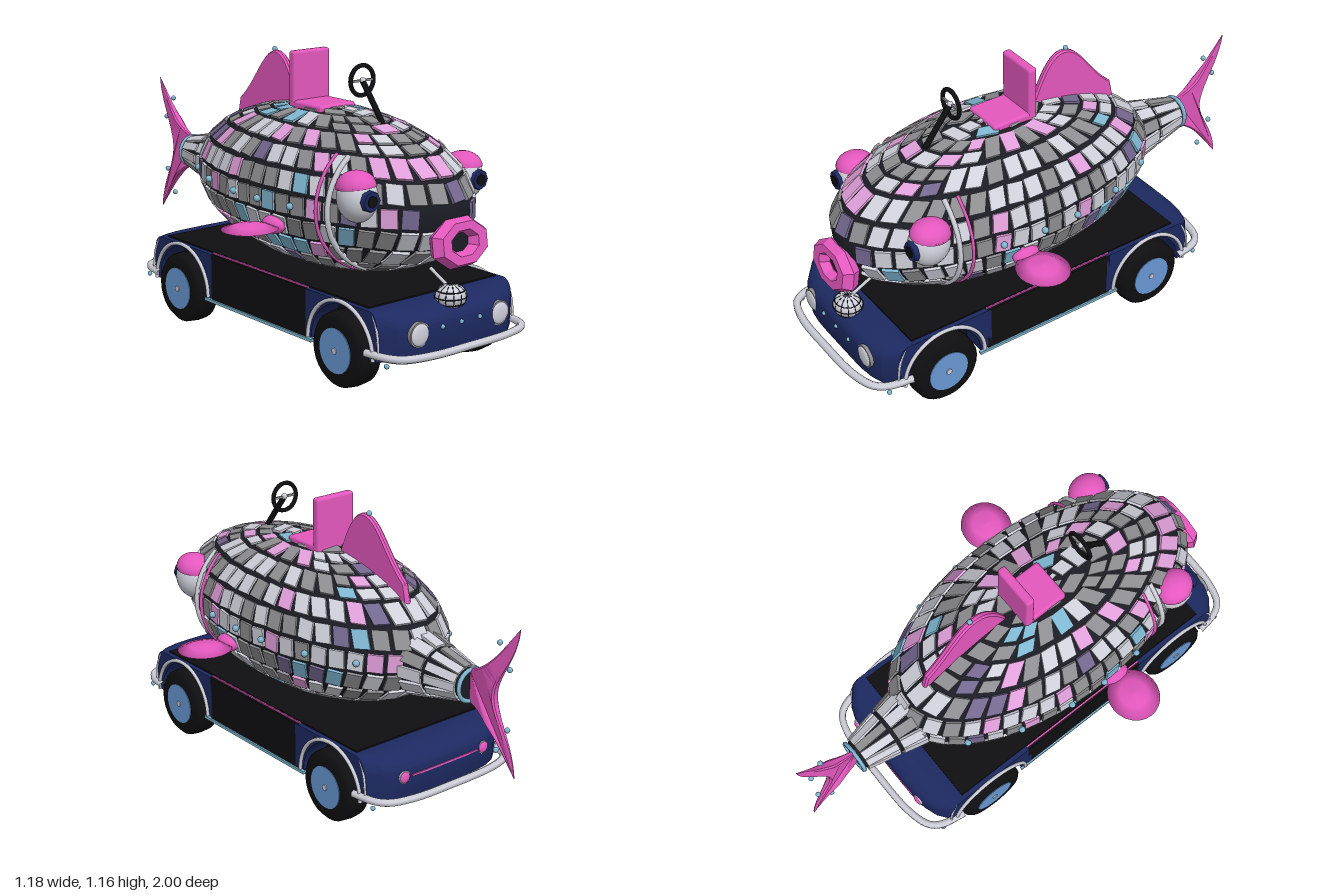
import * as THREE from 'three';
import { mergeGeometries } from 'three/addons/utils/BufferGeometryUtils.js';
import { RoundedBoxGeometry } from 'three/addons/geometries/RoundedBoxGeometry.js';

const V = (x, y, z) => new THREE.Vector3(x, y, z);
const mat = (name, color) => new THREE.MeshStandardMaterial({ name, color });

// Coloured tiles, as pairs seen from the right (z, y), the front (x, y) and the top (x, z)
const spots = {
  rose: { right: [[0.45, 0.65], [0.46, 0.5], [0.22, 0.87], [0.32, 0.87], [0.02, 0.73], [-0.26, 0.74], [-0.1, 0.65], [0.03, 0.48], [-0.07, 0.48], [-0.17, 0.48], [0.48, 0.8]],
    front: [[-0.2, 0.64], [-0.1, 0.81], [-0.15, 0.9]], top: [[-0.14, 0.49], [-0.16, 0.7], [-0.21, -0.1]] },
  purple: { right: [[0.14, 0.8], [-0.26, 0.81], [-0.37, 0.65], [0.25, 0.41]],
    front: [[0.04, 0.73], [-0.14, 0.66], [0.14, 0.66]], top: [[-0.09, -0.25], [0.05, -0.15], [-0.27, 0.21]] },
  sky: { right: [[0.41, 0.74], [0.22, 0.65], [0.03, 0.74], [0.28, 0.48], [0.37, 0.48], [0.18, 0.48], [0.09, 0.56]],
    front: [[-0.3, 0.56], [0.19, 0.56], [0.27, 0.47]], top: [[0.06, 0.27], [-0.115, 0], [-0.19, 0.14]] },
};

export function createModel() {
  const root = new THREE.Group();
  root.name = 'mirrorFishCar';
  const M = {
    core: mat('dark grout', 0x1b1c24), silver: mat('silver', 0xcfd0da), gray: mat('gray', 0x8e8e92),
    rose: mat('rose tile', 0xe0a0da), purple: mat('purple tile', 0x74688f), sky: mat('pale blue', 0x80b8d2),
    pink: mat('hot pink', 0xe458be), navy: mat('navy paint', 0x1d2961), black: mat('black', 0x0f0f11),
    blue: mat('hub blue', 0x6797d2),
  };
  const add = (parent, name, geo, m, x = 0, y = 0, z = 0) => {
    const mesh = new THREE.Mesh(geo, m);
    mesh.name = name;
    mesh.position.set(x, y, z);
    parent.add(mesh);
    return mesh;
  };
  const tube = (pts, r, seg = 32) => new THREE.TubeGeometry(new THREE.CatmullRomCurve3(pts, false, 'centripetal'), seg, r, 6);
  const ball = (rx, ry, rz, w = 20, h = 14) => new THREE.SphereGeometry(1, w, h).scale(rx, ry, rz);
  let seed = 17;
  const rand = () => (seed = (seed * 16807) % 2147483647) / 2147483647;

  // Point on the fish body: a slightly fattened ellipsoid with horizontal rings
  const lonAt = (v) => 0.708 * Math.pow(Math.max(0, 1 - Math.pow(Math.abs(v), 2.1)), 1 / 2.1);
  const P = (phi, t) => {
    const v = Math.sin(phi);
    return V(0.368 * Math.cos(phi) * Math.cos(t), 0.642 + 0.308 * v, 0.18 + lonAt(v) * Math.sin(t));
  };
  const coreGeo = new THREE.SphereGeometry(1, 48, 32);
  const pos = coreGeo.attributes.position;
  for (let i = 0; i < pos.count; i++) {
    const p = P(Math.asin(Math.max(-1, Math.min(1, pos.getY(i)))), Math.atan2(pos.getZ(i), pos.getX(i)));
    pos.setXYZ(i, p.x, p.y, p.z);
  }
  coreGeo.computeVertexNormals();
  add(root, 'bodyCore', coreGeo, M.core);

  // Mirror tiles, merged by colour
  const tiles = { silver: [], gray: [], rose: [], purple: [], sky: [] };
  const plate = (c, u, v, key) => {
    const n = u.clone().cross(v).normalize().multiplyScalar(0.014);
    const g = new THREE.BoxGeometry(1, 1, 1);
    tiles[key].push(g.applyMatrix4(new THREE.Matrix4().makeBasis(u, v, n).setPosition(c)));
  };
  const near = (list, a, b) => list.some(([p, q]) => Math.abs(p - a) < 0.038 && Math.abs(q - b) < 0.04);
  const pick = (c) => {
    for (const key in spots) {
      const s = spots[key];
      if ((c.x < -0.15 && near(s.right, c.z, c.y)) || (c.z > 0.55 && near(s.front, c.x, c.y)) || (c.y > 0.72 && near(s.top, c.x, c.z))) return key;
    }
    const r = rand(), plain = c.x < 0.12 || c.z > 0.6 ? 0.95 : 0.78;
    if (r < plain) return r < plain * 0.48 ? 'silver' : 'gray';
    const q = (r - plain) / (1 - plain);
    return q < 0.5 ? 'rose' : q < 0.78 ? 'purple' : 'sky';
  };
  const rows = 11, step = Math.PI / rows;
  for (let i = 0; i < rows; i++) {
    const phi = -Math.PI / 2 + (i + 0.5) * step;
    const lens = [0], samples = 400;
    for (let k = 1; k <= samples; k++) {
      const a = P(phi, ((k - 1) / samples) * Math.PI * 2), b = P(phi, (k / samples) * Math.PI * 2);
      lens.push(lens[k - 1] + a.distanceTo(b));
    }
    const total = lens[samples], n = Math.max(5, Math.round(total / 0.077)), shift = rand();
    const angleAt = (s) => {
      const target = ((s / n) * total) % total;
      const k = Math.max(1, lens.findIndex((l) => l >= target));
      return ((k - 1 + (target - lens[k - 1]) / (lens[k] - lens[k - 1])) / samples) * Math.PI * 2;
    };
    for (let j = 0; j < n; j++) {
      const t = angleAt(j + shift), t0 = angleAt(j + shift + n - 0.41), t1 = angleAt(j + shift + 0.41);
      // long tiles near the two ends are cut into shorter ones
      const cuts = Math.max(1, Math.round(P(phi + step / 2, t).distanceTo(P(phi - step / 2, t)) / 0.085));
      for (let k = 0; k < cuts; k++) {
        const h = step / cuts, f = phi - step / 2 + (k + 0.5) * h, c = P(f, t);
        if (c.z > 0.85 && c.y < 0.69) continue;
        const v = P(f + h * 0.41, t).sub(P(f - h * 0.41, t));
        const u = P(f, t1).sub(P(f, t0));
        const n1 = u.clone().cross(v).normalize(), turn = (rand() - 0.5) * 0.22;
        plate(c, u.applyAxisAngle(n1, turn), v.applyAxisAngle(n1, turn), pick(c));
      }
    }
  }

  // Tail stalk with long mirror strips
  add(root, 'tailStalk', new THREE.CylinderGeometry(0.06, 0.125, 0.28, 12).rotateX(-Math.PI / 2), M.core, 0, 0.615, -0.62);
  const onStalk = (z, a) => {
    const r = 0.06 + ((z + 0.76) / 0.28) * 0.065;
    return V(Math.cos(a) * r, 0.615 + Math.sin(a) * r, z);
  };
  for (let i = 0; i < 12; i++) {
    const a = (i / 12) * Math.PI * 2, d = 0.21;
    for (const [z0, z1] of [[-0.59, -0.49], [-0.74, -0.605]]) {
      const zm = (z0 + z1) / 2;
      plate(onStalk(zm, a), onStalk(zm, a + d).sub(onStalk(zm, a - d)), onStalk(z1, a).sub(onStalk(z0, a)), rand() < 0.75 ? 'silver' : 'gray');
    }
  }
  for (const key in tiles) add(root, key + 'Tiles', mergeGeometries(tiles[key]), M[key]);
  add(root, 'tailRing', new THREE.TorusGeometry(0.064, 0.009, 6, 24), M.sky, 0, 0.615, -0.76);

  // Upright fins drawn in the z-y plane
  const slab = (shape, width, opts = {}) => new THREE.ExtrudeGeometry(shape, { depth: width, bevelEnabled: false, curveSegments: 20, ...opts })
    .translate(0, 0, -width / 2).rotateY(-Math.PI / 2);
  const finOpts = { bevelEnabled: true, bevelThickness: 0.008, bevelSize: 0.006, bevelOffset: -0.006, bevelSegments: 1 };
  const dorsal = new THREE.Shape();
  dorsal.moveTo(0.0, 0.92);
  dorsal.bezierCurveTo(-0.05, 1.06, -0.1, 1.14, -0.16, 1.13);
  dorsal.bezierCurveTo(-0.24, 1.12, -0.28, 1.0, -0.39, 0.91);
  dorsal.lineTo(-0.41, 0.82);
  dorsal.lineTo(-0.3, 0.82);
  add(root, 'dorsalFin', slab(dorsal, 0.012, finOpts), M.pink);
  const tail = new THREE.Shape();
  tail.moveTo(-0.75, 0.68);
  tail.bezierCurveTo(-0.86, 0.71, -0.92, 0.81, -1.0, 0.91);
  tail.bezierCurveTo(-0.99, 0.78, -0.89, 0.7, -0.89, 0.615);
  tail.bezierCurveTo(-0.89, 0.53, -0.99, 0.45, -1.0, 0.32);
  tail.bezierCurveTo(-0.92, 0.42, -0.86, 0.52, -0.75, 0.55);
  const tailGeo = slab(tail, 0.024, finOpts);
  const tp = tailGeo.attributes.position;
  for (let i = 0; i < tp.count; i++) tp.setX(i, tp.getX(i) * Math.max(0.15, 1 - Math.abs(tp.getZ(i) + 0.86) / 0.15));
  tailGeo.computeVertexNormals();
  add(root, 'tailFin', tailGeo, M.pink);
  for (const [y, z] of [[0.83, -0.9], [0.74, -0.955], [0.4, -0.9], [0.5, -0.955], [1.135, -0.17]])
    add(root, 'finStud', ball(0.011, 0.011, 0.011, 8, 6), M.sky, 0, y, z);

  // Faceted lips
  const lips = new THREE.TorusGeometry(0.096, 0.046, 6, 8).rotateZ(Math.PI / 8).scale(1, 0.7, 0.9).toNonIndexed();
  lips.computeVertexNormals();
  add(root, 'lips', lips, M.pink, 0, 0.55, 0.905).rotation.x = -0.15;
  add(root, 'mouthHole', new THREE.CylinderGeometry(0.09, 0.09, 0.06, 16).rotateX(Math.PI / 2).scale(1, 0.68, 1), M.core, 0, 0.55, 0.875);

  // Gill band following the body at one z
  const gill = (s, z, r, a0, a1) => {
    const pts = [];
    for (let i = 0; i <= 16; i++) {
      const phi = a0 + ((a1 - a0) * i) / 16;
      const p = P(phi, Math.asin(Math.min(1, (z - 0.18) / lonAt(Math.sin(phi)))));
      pts.push(V(s * (p.x + 0.012), p.y, z));
    }
    return tube(pts, r);
  };
  const finGeo = new THREE.LatheGeometry([[0, -0.024], [0.06, -0.015], [0.112, 0], [0.06, 0.015], [0, 0.024]]
    .map(([x, y]) => new THREE.Vector2(x, y)), 24).scale(1, 1, 0.93);

  // Eyes, side fins, gill bands and studs
  for (const s of [1, -1]) {
    const eye = new THREE.Group();
    eye.name = s > 0 ? 'leftEye' : 'rightEye';
    eye.position.set(s * 0.268, 0.71, 0.65);
    root.add(eye);
    add(eye, 'eyeball', ball(0.074, 0.092, 0.084), M.silver);
    const lid = new THREE.Group();
    lid.name = 'eyelid';
    lid.rotation.set(-0.12, 0, -s * 0.06);
    eye.add(lid);
    add(lid, 'lidDome', new THREE.SphereGeometry(1, 20, 8, 0, Math.PI * 2, 0, Math.PI / 2).scale(0.072, 0.06, 0.082), M.pink, 0, 0.042, 0);
    add(lid, 'lidUnderside', new THREE.CylinderGeometry(0.072, 0.072, 0.006, 20).scale(1, 1, 1.13), M.pink, 0, 0.042, 0);
    add(eye, 'iris', new THREE.CylinderGeometry(0.038, 0.042, 0.02, 8).rotateX(Math.PI / 2), M.navy, s * 0.007, 0.002, 0.08);
    add(eye, 'pupil', new THREE.CylinderGeometry(0.023, 0.023, 0.008, 8).rotateX(Math.PI / 2), M.black, s * 0.007, 0.002, 0.09);

    add(root, 'sideFin', finGeo, M.pink, s * 0.478, 0.552, 0.28);
    add(root, 'finRoot', ball(0.035, 0.035, 0.06, 12, 8), M.pink, s * 0.365, 0.55, 0.28);
    add(root, 'silverGillBand', gill(s, 0.55, 0.011, -0.92, 0.7), M.silver);
    add(root, 'pinkGillBand', gill(s, 0.5, 0.007, -1.0, 0.72), M.pink);
    for (const z of [0.38, 0.2, 0.04, -0.18, -0.38]) {
      const x = 0.368 * Math.sqrt(1 - ((z - 0.18) / 0.708) ** 2) + 0.014;
      add(root, 'sideStud', ball(0.014, 0.014, 0.014, 8, 6), M.sky, s * x, 0.64, z);
    }
  }

  // Seat and steering wheel
  add(root, 'seatCushion', new RoundedBoxGeometry(0.18, 0.04, 0.2, 2, 0.012), M.pink, 0, 0.945, 0.13);
  add(root, 'seatBack', new RoundedBoxGeometry(0.185, 0.23, 0.038, 2, 0.012), M.pink, 0, 1.045, 0.05);
  add(root, 'steeringColumn', tube([V(0, 0.92, 0.49), V(0, 1.0, 0.428), V(0, 1.075, 0.368)], 0.012, 6), M.black);
  add(root, 'steeringWheel', new THREE.TorusGeometry(0.058, 0.009, 8, 24), M.black, 0, 1.075, 0.366);
  add(root, 'wheelSpoke', new THREE.BoxGeometry(0.11, 0.009, 0.008), M.gray, 0, 1.075, 0.368);
  add(root, 'wheelHub', ball(0.013, 0.013, 0.013, 10, 8), M.silver, 0, 1.075, 0.37);

  // Chassis centre
  const mid = 0.1475;
  add(root, 'cabinSides', new THREE.BoxGeometry(0.69, 0.19, 0.6), M.black, 0, 0.238, mid);
  add(root, 'underbody', new THREE.BoxGeometry(0.49, 0.17, 1.28), M.black, 0, 0.236, mid);
  add(root, 'deck', new THREE.BoxGeometry(0.65, 0.01, 1.27), M.black, 0, 0.334, mid);
  add(root, 'floorPan', new THREE.BoxGeometry(0.66, 0.004, 0.62), M.black, 0, 0.13, mid);
  for (const s of [1, -1]) {
    add(root, 'sillRail', new THREE.BoxGeometry(0.014, 0.012, 0.68), M.sky, s * 0.345, 0.138, mid);
    add(root, 'deckStripe', new THREE.BoxGeometry(0.006, 0.006, 0.6), M.pink, s * 0.332, 0.336, mid);
    add(root, 'crossRail', new THREE.BoxGeometry(0.69, 0.01, 0.012), M.sky, 0, 0.138, mid + s * 0.302);
  }

  // Chassis ends: the rear is the front turned about
  const wing = new THREE.Shape();
  wing.moveTo(0.43, 0.15);
  wing.lineTo(0.485, 0.15);
  wing.absarc(0.65, 0.15, 0.168, Math.PI, 0, true);
  wing.lineTo(0.92, 0.15);
  wing.quadraticCurveTo(0.935, 0.22, 0.926, 0.275);
  wing.quadraticCurveTo(0.91, 0.325, 0.82, 0.333);
  wing.lineTo(0.43, 0.333);
  const wingGeo = slab(wing, 0.69, { steps: 12 });
  const wp = wingGeo.attributes.position;
  for (let i = 0; i < wp.count; i++) {
    const k = Math.max(0, (wp.getZ(i) - 0.8) / 0.13);
    wp.setZ(i, wp.getZ(i) - 0.08 * k * Math.pow(Math.abs(wp.getX(i)) / 0.345, 5));
  }
  wingGeo.computeVertexNormals();
  const tireGeo = new THREE.LatheGeometry([[0.07, -0.057], [0.125, -0.057], [0.143, -0.04], [0.147, 0], [0.143, 0.04], [0.125, 0.057], [0.07, 0.057]]
    .map(([x, y]) => new THREE.Vector2(x, y)), 28).rotateZ(Math.PI / 2);
  const disc = (r, h) => new THREE.CylinderGeometry(r, r, h, 24);
  const bumperHalf = [[0.355, 0.8], [0.335, 0.9], [0.3, 0.945], [0.2, 0.975]];
  const bumperPts = [...bumperHalf.map(([x, z]) => V(-x, 0.177, z)), V(0, 0.177, 0.982), ...bumperHalf.reverse().map(([x, z]) => V(x, 0.177, z))];
  for (const front of [true, false]) {
    const end = new THREE.Group();
    end.name = front ? 'frontEnd' : 'rearEnd';
    if (!front) { end.rotation.y = Math.PI; end.position.z = 2 * mid; }
    root.add(end);
    add(end, 'fenders', wingGeo, M.navy);
    add(end, 'bumper', tube(bumperPts, 0.016, 48), M.silver);
    for (const s of [1, -1]) {
      const arc = [];
      for (let i = 0; i <= 16; i++) {
        const a = (i / 16) * Math.PI;
        arc.push(V(s * 0.35, 0.15 + 0.184 * Math.sin(a), 0.65 + 0.184 * Math.cos(a)));
      }
      add(end, 'fenderTrim', tube(arc, 0.008), M.silver);
      add(end, 'bumperStay', tube([V(s * 0.345, 0.175, 0.86), V(s * 0.345, 0.26, 0.85), V(s * 0.34, 0.325, 0.82)], 0.005, 8), M.silver);
      add(end, 'bumperStud', ball(0.01, 0.01, 0.01, 8, 6), M.sky, s * 0.342, 0.15, 0.9);
      add(end, 'tire', tireGeo, M.black, s * 0.313, 0.147, 0.65);
      add(end, 'hubcap', disc(0.087, 0.12).rotateZ(Math.PI / 2), M.blue, s * 0.313, 0.147, 0.65);
      add(end, 'hubNut', disc(0.012, 0.128).rotateZ(Math.PI / 2), M.silver, s * 0.313, 0.147, 0.65);
      const r = front ? 0.048 : 0.026;
      add(end, 'lampRim', disc(r, 0.04).rotateX(Math.PI / 2), front ? M.gray : M.silver, s * 0.205, 0.245, 0.905);
      add(end, 'lamp', ball(r * 0.88, r * 0.88, 0.01), front ? M.silver : M.pink, s * 0.205, 0.245, 0.925);
    }
    if (!front) add(end, 'tailStripe', new THREE.BoxGeometry(0.34, 0.008, 0.008), M.pink, 0, 0.245, 0.928);
    else for (const x of [-0.095, 0, 0.095]) add(end, 'noseStud', ball(0.009, 0.009, 0.009, 8, 6), M.sky, x, 0.255, 0.929);
  }

  // Small mirror ball on the bonnet, with dark joints
  add(root, 'bonnetBall', ball(0.064, 0.048, 0.058, 12, 8), M.silver, 0, 0.338, 0.87);
  for (const k of [-0.5, 0, 0.5])
    add(root, 'ballJoint', new THREE.TorusGeometry(0.063 * Math.sqrt(1 - k * k), 0.0025, 4, 24).rotateX(Math.PI / 2).scale(1, 1, 0.91), M.core, 0, 0.338 + 0.048 * k, 0.87);
  for (let i = 0; i < 6; i++)
    add(root, 'ballMeridian', new THREE.TorusGeometry(1, 0.035, 4, 24).rotateY((i / 6) * Math.PI).scale(0.063, 0.047, 0.057), M.core, 0, 0.338, 0.87);
  add(root, 'ballRod', tube([V(0, 0.37, 0.86), V(0, 0.395, 0.81), V(0, 0.42, 0.76)], 0.007, 6), M.silver);
  return root;
}
